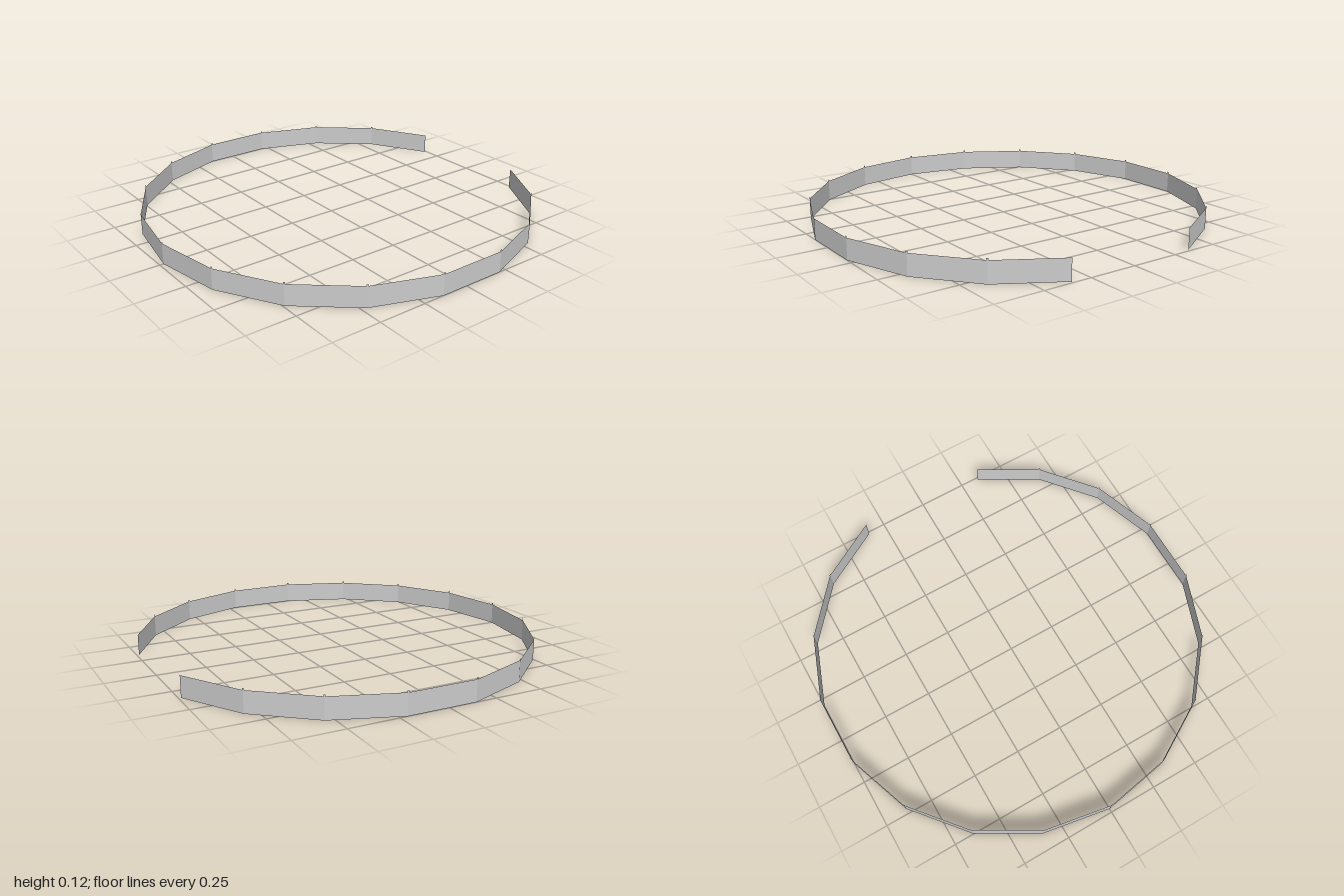
import * as THREE from 'three';

const SIDES = 18;                       // full polygon, two sides left open at the back
const STEP = (Math.PI * 2) / SIDES;
const RADIUS = 1 / Math.cos(STEP / 2);  // flat-to-flat width of 2
const HEIGHT = 0.107;
const TAB = 0.009;

export function createModel() {
  const model = new THREE.Group();
  model.name = 'openRing';
  const material = new THREE.MeshStandardMaterial({
    color: 0xcccccc, flatShading: true, side: THREE.DoubleSide,
  });

  // Thin faceted wall with a gap at the back
  const span = SIDES - 2;
  const wallGeometry = new THREE.CylinderGeometry(
    RADIUS, RADIUS, HEIGHT, span, 1, true, -STEP * span / 2, STEP * span);
  wallGeometry.translate(0, HEIGHT / 2, 0);
  const wall = new THREE.Mesh(wallGeometry, material);
  wall.name = 'wall';
  model.add(wall);

  // Tiny tab folded over the top of each bend
  const tabGeometry = new THREE.PlaneGeometry(TAB, TAB, 2, 1);
  const p = tabGeometry.attributes.position;
  for (let i = 0; i < p.count; i++) {
    p.setZ(i, RADIUS - Math.abs(p.getX(i)) * Math.tan(STEP / 2));
  }
  tabGeometry.translate(0, HEIGHT + TAB / 2, 0);
  const tabs = new THREE.Group();
  tabs.name = 'tabs';
  for (let i = 1 - span / 2; i < span / 2; i++) {
    const tab = new THREE.Mesh(tabGeometry, material);
    tab.name = 'tab';
    tab.rotation.y = i * STEP;
    tabs.add(tab);
  }
  model.add(tabs);

  // Centre the open ring front to back
  model.children.forEach((part) => {
    part.position.z = -RADIUS * (1 - Math.cos(STEP)) / 2 - 0.004;
  });
  // The front bend reaches RADIUS, the open ends reach RADIUS * cos(STEP)
  return model;
}
